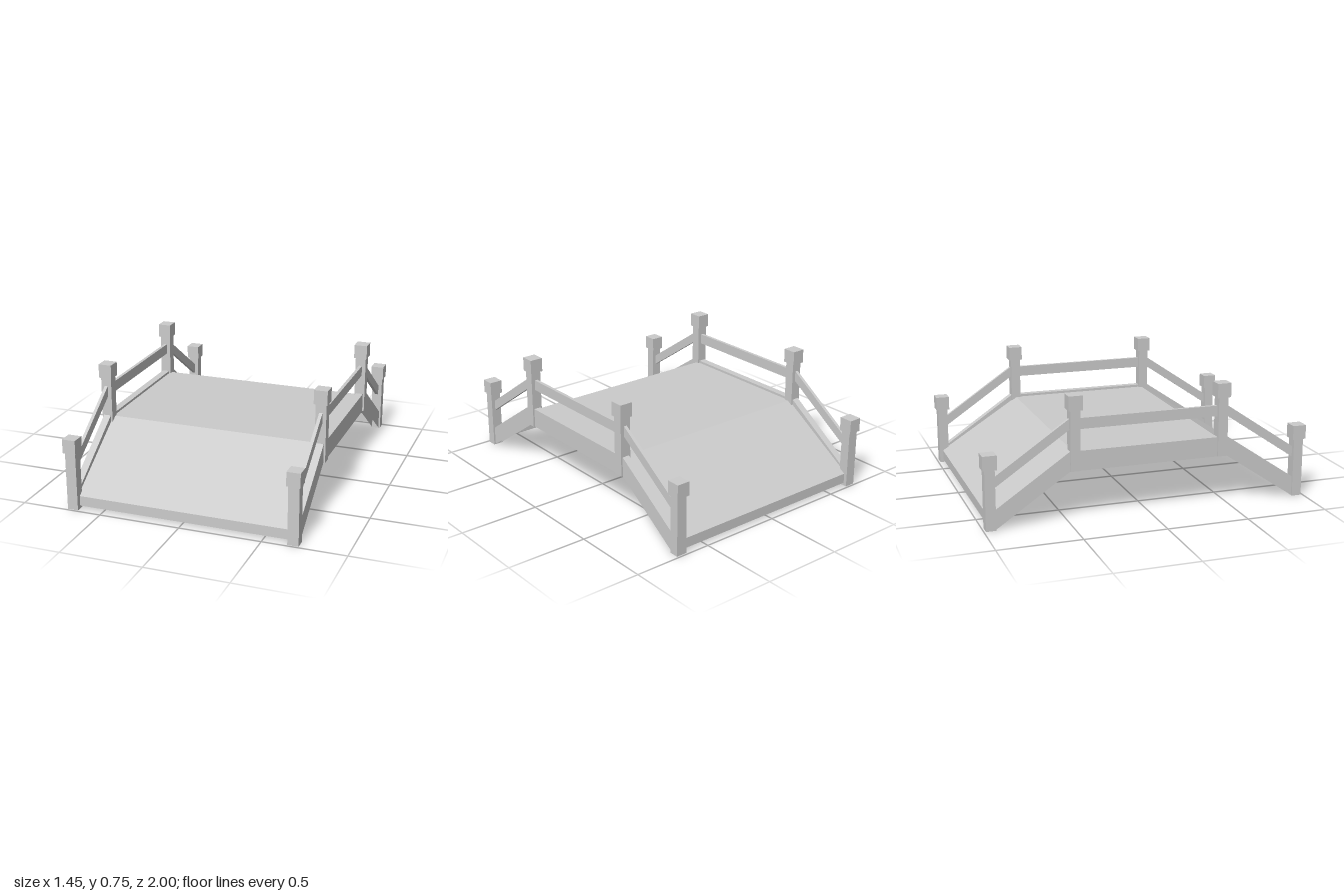
import * as THREE from 'three';

const material = new THREE.MeshStandardMaterial({ color: 0xcccccc, flatShading: true, side: THREE.DoubleSide });
const POST_X = 0.682;

function addMesh(parent, name, geometry, x = 0, y = 0, z = 0) {
  const mesh = new THREE.Mesh(geometry, material);
  mesh.name = name;
  mesh.position.set(x, y, z);
  parent.add(mesh);
  return mesh;
}

// Drops the downward-facing triangles, leaving the shape open underneath.
function openBelow(geometry) {
  const source = geometry.index ? geometry.toNonIndexed() : geometry;
  const { position, normal } = source.attributes;
  const kept = [];
  for (let i = 0; i < position.count; i += 3) {
    if (normal.getY(i) > -0.5) kept.push(i, i + 1, i + 2);
  }
  source.clearGroups();
  source.setIndex(kept);
  return source;
}

// Arched band: level middle, sloping ends, constant vertical height, extruded across x.
function archBand(width, height, bendZ, endZ, topY, endTopY) {
  const top = [[-endZ, endTopY], [-bendZ, topY], [bendZ, topY], [endZ, endTopY]];
  const bottom = top.map(([z, y]) => [z, y - height]).reverse();
  const shape = new THREE.Shape([...top, ...bottom].map(([z, y]) => new THREE.Vector2(z, y)));
  const geometry = new THREE.ExtrudeGeometry(shape, { depth: width, bevelEnabled: false });
  geometry.translate(0, 0, -width / 2);
  geometry.rotateY(Math.PI / 2);
  return geometry;
}

// Folded sheet: two ramps and a level middle, with a short upright lip at each end.
function deckSheet(width) {
  const profile = [[-0.967, 0.018], [-0.967, 0.08], [-0.455, 0.405], [0.445, 0.405], [0.957, 0.08], [0.957, 0.018]];
  const geometry = new THREE.PlaneGeometry(width, 1, 1, profile.length - 1);
  const position = geometry.attributes.position;
  for (let i = 0; i < position.count; i++) {
    const [z, y] = profile[Math.floor(i / 2)];
    position.setXYZ(i, position.getX(i), y, z);
  }
  geometry.computeVertexNormals();
  return geometry;
}

// Square post, hollow at the foot, with a wider block cap.
function createPost(baseY) {
  const post = new THREE.Group();
  post.name = 'post';
  addMesh(post, 'postShaft', openBelow(new THREE.BoxGeometry(0.066, 0.37, 0.06)), 0, baseY + 0.185, 0);
  addMesh(post, 'postCap', new THREE.BoxGeometry(0.082, 0.086, 0.084), 0, baseY + 0.404, 0);
  return post;
}

export function createModel() {
  const bridge = new THREE.Group();
  bridge.name = 'bridge';

  // Walking surface
  addMesh(bridge, 'deck', deckSheet(1.33));

  for (const side of [1, -1]) {
    const railing = new THREE.Group();
    railing.name = side > 0 ? 'leftRailing' : 'rightRailing';
    railing.position.x = side * POST_X;
    bridge.add(railing);

    // Deep side beam, open underneath, and slim handrail
    addMesh(railing, 'sideBeam', openBelow(archBand(0.045, 0.12, 0.487, 0.93, 0.42, 0.12)));
    addMesh(railing, 'handrail', archBand(0.02, 0.065, 0.487, 0.93, 0.61, 0.31));

    // Low end posts and raised inner posts
    for (const end of [1, -1]) {
      for (const [z, baseY] of [[0.958, 0], [0.456, 0.302]]) {
        const post = createPost(baseY);
        post.position.z = end * z;
        railing.add(post);
      }
    }
  }
  return bridge;
}
